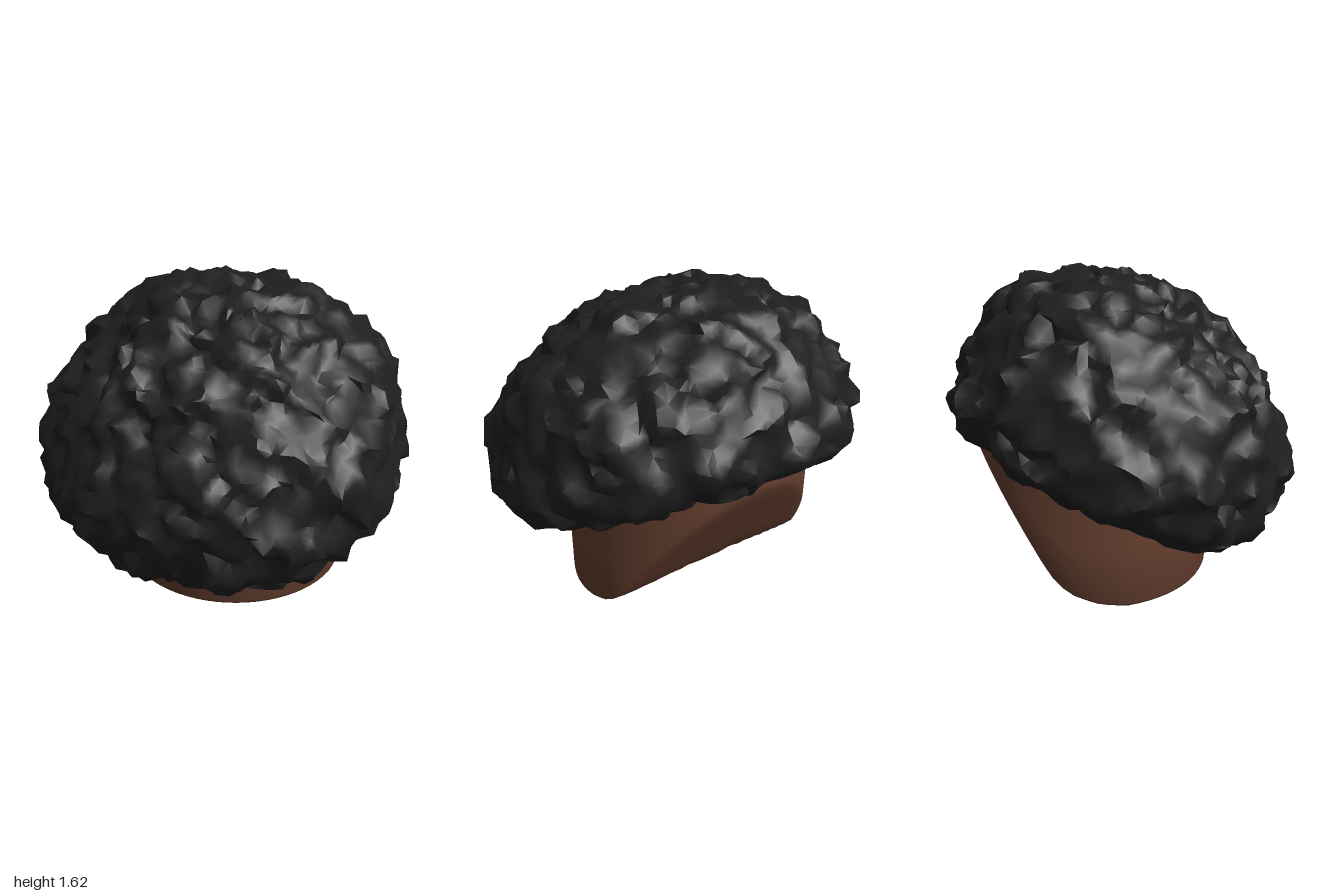
import * as THREE from 'three';
import { toCreasedNormals } from 'three/addons/utils/BufferGeometryUtils.js';

const hairBlack = new THREE.MeshStandardMaterial({ color: 0x1e1e1e });
hairBlack.name = 'hairBlack';
const skinBrown = new THREE.MeshStandardMaterial({ color: 0x653f2f, side: THREE.DoubleSide });
skinBrown.name = 'skinBrown';

// Repeatable lattice hash and smooth value noise, both 0..1
const hash = (x, y, z) => {
  const s = Math.sin(x * 127.1 + y * 311.7 + z * 74.7) * 43758.5453;
  return s - Math.floor(s);
};
function noise(x, y, z) {
  const c = [x, y, z].map(Math.floor);
  const f = [x - c[0], y - c[1], z - c[2]].map((t) => t * t * (3 - 2 * t));
  let sum = 0;
  for (let i = 0; i < 8; i++) {
    const b = [i & 1, (i >> 1) & 1, i >> 2];
    const w = b.reduce((p, bit, k) => p * (bit ? f[k] : 1 - f[k]), 1);
    sum += w * hash(c[0] + b[0], c[1] + b[1], c[2] + b[2]);
  }
  return sum;
}

// Domed mass with a flattened underside, roughened into curls and tipped forward
function hairGeometry() {
  const geo = new THREE.IcosahedronGeometry(1, 19);
  const p = geo.attributes.position;
  const d = new THREE.Vector3();
  for (let i = 0; i < p.count; i++) {
    d.fromBufferAttribute(p, i).normalize();
    const k = [d.x, d.y, d.z].map((t) => Math.round(t * 2000) / 2000 + 0);
    // uneven spacing of the tufts
    d.x += (noise(k[0] * 13 + 40, k[1] * 13, k[2] * 13) - 0.5) * 0.07;
    d.y += (noise(k[0] * 13, k[1] * 13 + 40, k[2] * 13) - 0.5) * 0.07;
    d.z += (noise(k[0] * 13, k[1] * 13, k[2] * 13 + 40) - 0.5) * 0.07;
    d.normalize();
    const flat = (Math.abs(d.x) / 0.955) ** 2.25 + (Math.abs(d.z) / 0.895) ** 2.25;
    const n = d.y > 0 ? 2 : 4;
    const rise = Math.abs(d.y) / (d.y > 0 ? 0.725 - 0.085 * d.z : 0.365);
    const r = (flat ** (n / 2.25) + rise ** n) ** (-1 / n);
    const lumps = (noise(k[0] * 6 + 9, k[1] * 6 + 9, k[2] * 6 + 9) - 0.5) * 0.06;
    const tufts = (noise(k[0] * 12 + 5, k[1] * 12 + 5, k[2] * 12 + 5) - 0.5) * 0.11;
    d.multiplyScalar(r + (lumps + tufts) * Math.min(1, r / 0.7));
    p.setXYZ(i, d.x, d.y, d.z);
  }
  geo.rotateX(0.45);
  geo.translate(0, 0.8, 0);
  return toCreasedNormals(geo, 0.9);
}

// Height of the head's underside: level in front, curving up to a steep straight back
const profile = [[-0.795, 0.8], [-0.46, 0.215], [-0.4, 0.125], [-0.32, 0.07], [-0.2, 0.025], [-0.05, 0], [0.5, 0]];
function underside(z) {
  const i = Math.max(1, profile.findIndex((q) => q[0] >= z));
  const [z0, y0] = profile[i - 1], [z1, y1] = profile[i];
  return y0 + ((y1 - y0) * (z - z0)) / (z1 - z0);
}

// Head: upright round wall, closed below by the curved underside with a slight dimple
function headGeometry() {
  const sides = 72, rows = 16, wallRows = 3, top = 0.84;
  const pos = [], idx = [];
  for (let j = 0; j < sides; j++) {
    const a = (j / sides) * Math.PI * 2;
    const x = 0.637 * Math.cos(a), z = -0.16 + 0.635 * Math.sin(a);
    for (let i = 0; i < rows; i++) {
      const t = (i / (rows - 1)) * 0.985; // from centre out to the rim
      const zt = 0.03 + (z - 0.03) * t;
      pos.push(0.008 + x * t, underside(zt) + 0.04 * (1 - t) ** 2, zt);
    }
    const low = underside(z) + 0.015;
    for (let i = 0; i <= wallRows; i++) {
      pos.push(0.008 + x, low + ((top - low) * i) / wallRows, z);
    }
  }
  const m = rows + wallRows + 1;
  for (let j = 0; j < sides; j++) {
    for (let i = 0; i < m - 1; i++) {
      const a = j * m + i, b = ((j + 1) % sides) * m + i;
      if (i > 0) idx.push(a, b + 1, b);
      idx.push(a, a + 1, b + 1);
    }
  }
  const geo = new THREE.BufferGeometry();
  geo.setAttribute('position', new THREE.Float32BufferAttribute(pos, 3));
  geo.setIndex(idx);
  return toCreasedNormals(geo, 1.2);
}

export function createModel() {
  const group = new THREE.Group();
  group.name = 'curlyHairOnHead';
  const hair = new THREE.Mesh(hairGeometry(), hairBlack);
  hair.name = 'curlyHair';
  const head = new THREE.Mesh(headGeometry(), skinBrown);
  head.name = 'head';
  group.add(hair, head);
  return group;
}
